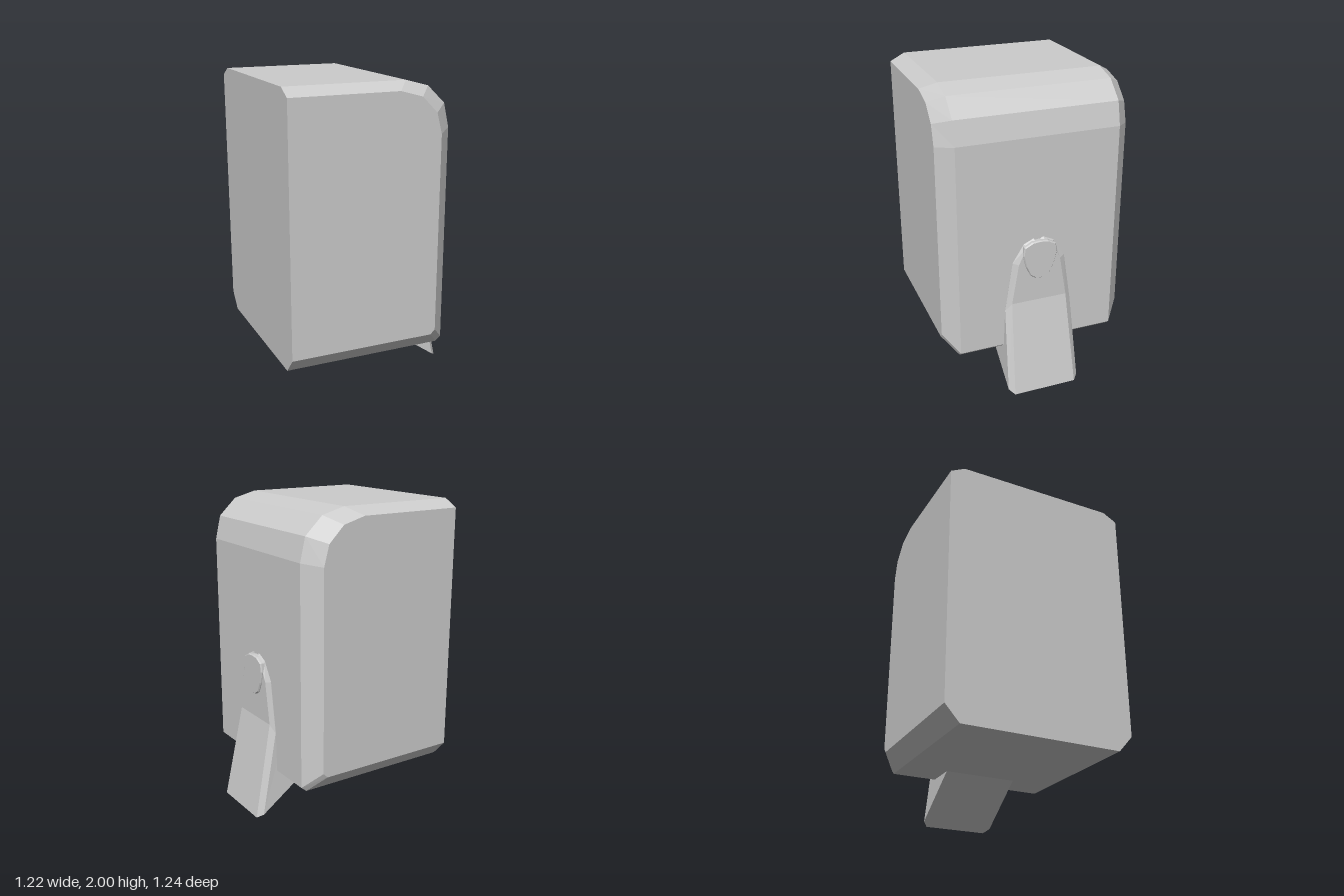
import * as THREE from 'three';

const grey = () => new THREE.MeshStandardMaterial({ color: 0xcccccc, flatShading: true });

// Joins a stack of equal rings (counter-clockwise along the travel) and caps both ends.
function loft(rings) {
  const pos = [];
  const tri = (a, b, c) => pos.push(...a, ...b, ...c);
  const n = rings[0].length;
  for (let r = 0; r < rings.length - 1; r++) {
    const a = rings[r], b = rings[r + 1];
    for (let i = 0; i < n; i++) {
      const j = (i + 1) % n;
      tri(a[i], a[j], b[j]);
      tri(a[i], b[j], b[i]);
    }
  }
  const first = rings[0], last = rings[rings.length - 1];
  for (let i = 1; i < n - 1; i++) {
    tri(first[0], first[i + 1], first[i]);
    tri(last[0], last[i], last[i + 1]);
  }
  const g = new THREE.BufferGeometry();
  g.setAttribute('position', new THREE.Float32BufferAttribute(pos, 3));
  g.computeVertexNormals();
  return g;
}

function addPart(group, name, geometry) {
  const mesh = new THREE.Mesh(geometry, grey());
  mesh.name = name;
  group.add(mesh);
}

export function createModel() {
  const model = new THREE.Group();
  model.name = 'casing';

  // Body: full profile in the middle, smaller profile on each bevelled side
  const full = [[-0.61, 0.275], [0.43, 0.275], [0.465, 0.305], [0.465, 1.7],
    [0.43, 1.85], [0.315, 1.96], [0.165, 2], [-0.61, 2]];
  const side = [[-0.61, 0.38], [0.335, 0.38], [0.365, 0.41], [0.365, 1.68],
    [0.33, 1.81], [0.23, 1.91], [0.085, 1.95], [-0.61, 1.95]];
  const at = (profile, z) => profile.map(([x, y]) => [x, y, z]);
  addPart(model, 'body', loft([at(side, -0.62), at(full, -0.525), at(full, 0.525), at(side, 0.62)]));

  // Leg: each row holds back, outer and front points as [x, y, half width]
  const rows = [
    [[0.22, 0.275, 0.24], [0.575, 0.025, 0.243], [0.61, 0, 0.21]],
    [[0.4, 0.55, 0.225], [0.467, 0.56, 0.225], [0.487, 0.61, 0.185]],
    [[0.44, 0.89, 0.175], [0.467, 0.89, 0.175], [0.487, 0.88, 0.14]],
    [[0.44, 1.01, 0.1], [0.467, 1.01, 0.1], [0.487, 0.995, 0.085]],
    [[0.44, 1.04, 0.035], [0.467, 1.04, 0.035], [0.487, 1.02, 0.03]],
  ];
  addPart(model, 'leg', loft(rows.map((row) => [
    ...row.map(([x, y, w]) => [x, y, w]),
    ...[...row].reverse().map(([x, y, w]) => [x, y, -w]),
  ])));

  // Button: egg-shaped cap with a small bevel, facing +x
  const half = [[0.05, 1.02], [0.1, 0.993], [0.108, 0.94], [0.09, 0.865], [0.06, 0.8], [0.025, 0.778]];
  const outline = [[0, 0.775], ...[...half].reverse(), [0, 1.025], ...half.map(([x, y]) => [-x, y])];
  const shape = new THREE.Shape(outline.map(([x, y]) => new THREE.Vector2(x, y)));
  const button = new THREE.ExtrudeGeometry(shape, {
    depth: 0.034, bevelEnabled: true, bevelThickness: 0.008, bevelSize: 0.006, bevelSegments: 1,
  });
  button.rotateY(Math.PI / 2).translate(0.458, 0, 0);
  addPart(model, 'button', button);

  return model;
}
